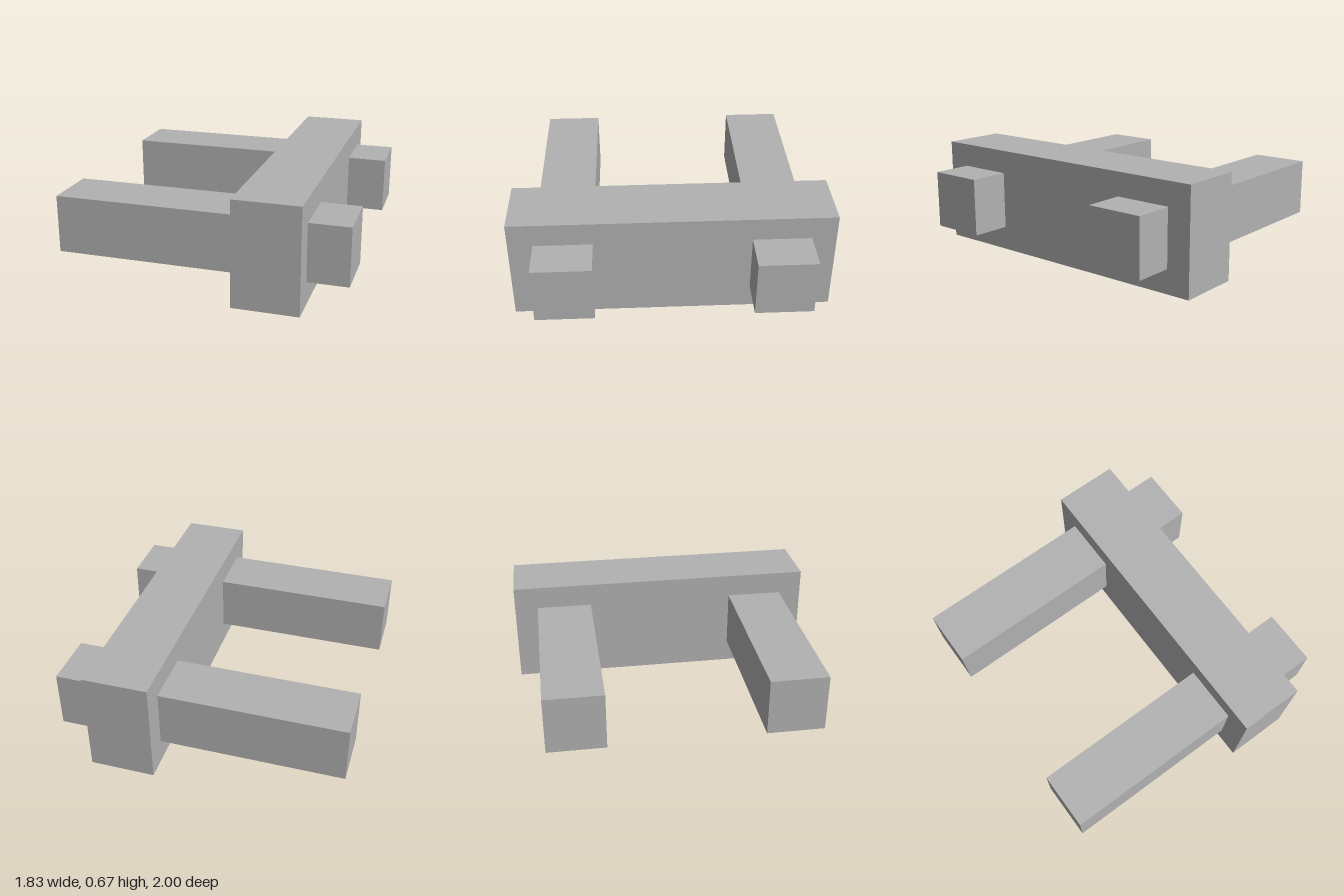
import * as THREE from 'three';

export function createModel() {
  const model = new THREE.Group();
  model.name = 'beamFrame';

  const grey = new THREE.MeshStandardMaterial({ color: 0xb2b2b2 });
  grey.name = 'plain grey';

  // Box given by its lowest and highest corners
  function addBeam(name, min, max) {
    const size = max.map((v, i) => v - min[i]);
    const mesh = new THREE.Mesh(new THREE.BoxGeometry(...size), grey);
    mesh.position.set(...max.map((v, i) => (v + min[i]) / 2));
    mesh.name = name;
    model.add(mesh);
  }

  // Tall crossbeam running front to back
  addBeam('crossbeam', [0.25, 0, -1], [0.662, 0.667, 1]);

  // Two rails passing through the crossbeam
  addBeam('frontRail', [-0.915, 0.152, 0.485], [0.915, 0.518, 0.848]);
  addBeam('backRail', [-0.915, 0.152, -0.848], [0.915, 0.518, -0.485]);

  return model;
}
